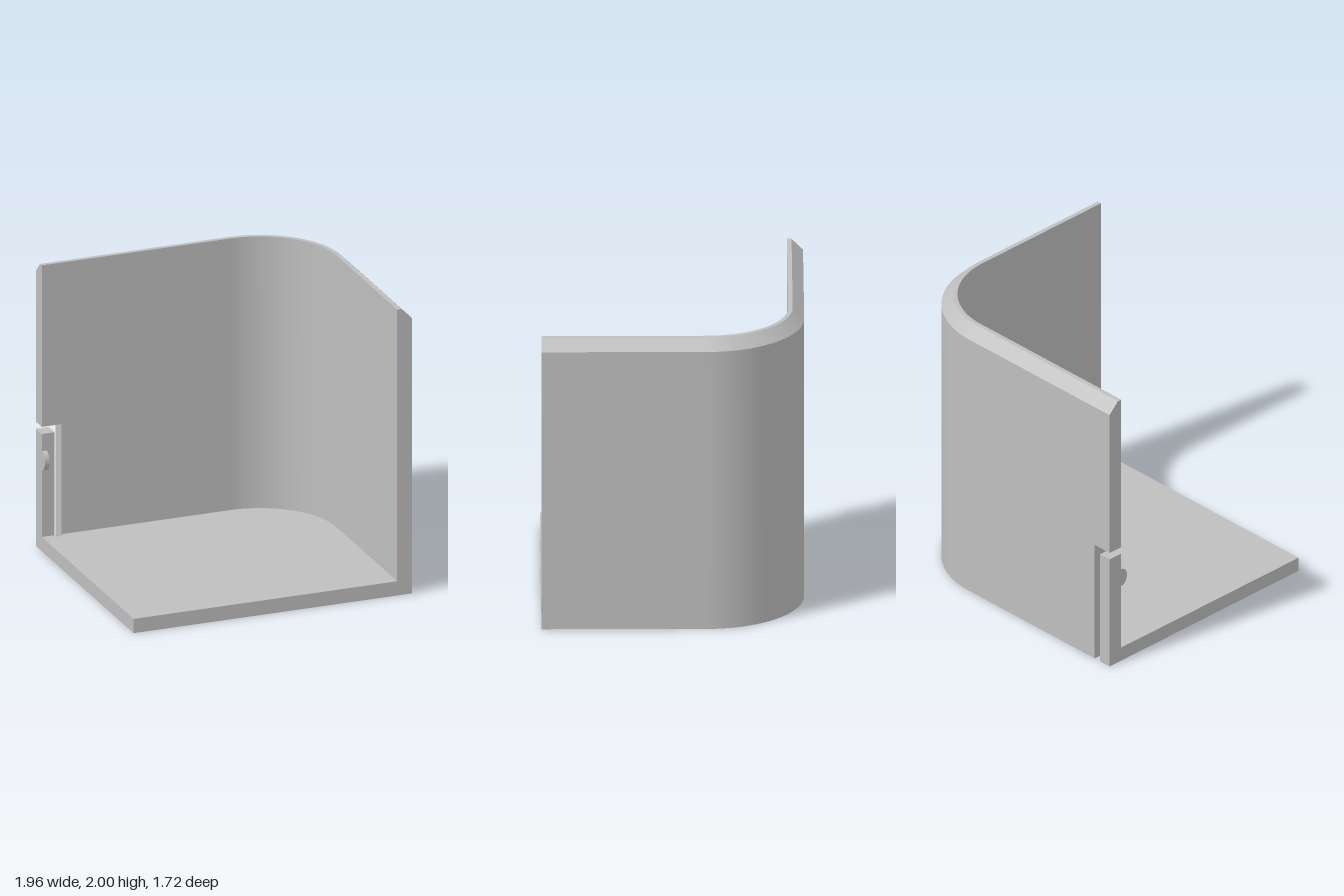
import * as THREE from 'three';
import { toCreasedNormals } from 'three/addons/utils/BufferGeometryUtils.js';

const W = 0.98, D = 0.86, T = 0.105;      // half width, half depth, wall thickness
const R = 0.64, CX = W - R, CZ = -D + R;  // rounded corner
const FLOOR = 0.1, SLOT0 = -0.89, SLOT1 = -0.84, SLOT_TOP = 0.87;

// Sweep the chamfered wall section along the back, round the corner and down the side
function wallGeometry() {
  // each station: outer point, outward direction and bottom height
  const stations = [[-W, -D, 0, -1, SLOT_TOP], [SLOT1, -D, 0, -1, SLOT_TOP], [SLOT1, -D, 0, -1, 0]];
  const n = 32;
  for (let i = 0; i <= n; i++) {
    const a = (i / n) * Math.PI / 2, s = Math.sin(a), c = Math.cos(a);
    stations.push([CX + R * s, CZ - R * c, s, -c, 0]);
  }
  stations.push([W, D, 1, 0, 0]);

  const pos = [], index = [], m = 5;
  for (const [x, z, nx, nz, y0] of stations) {
    const section = [[0, y0], [0, 1.925], [0.075, 2], [T, 2], [T, y0]];
    for (const [d, y] of section) pos.push(x - nx * d, y, z - nz * d);
  }
  for (let s = 0; s < stations.length - 1; s++) {
    for (let k = 0; k < m; k++) {
      const a = s * m + k, d = s * m + (k + 1) % m, b = a + m, c = d + m;
      index.push(a, c, b, a, d, c);
    }
  }
  // end caps
  const e = (stations.length - 1) * m;
  for (let k = 1; k < m - 1; k++) index.push(0, k + 1, k, e, e + k, e + k + 1);

  const g = new THREE.BufferGeometry();
  g.setAttribute('position', new THREE.Float32BufferAttribute(pos, 3));
  g.setIndex(index);
  return toCreasedNormals(g, Math.PI / 7);
}

// Floor plate inside the wall, notched where the slot runs through
function floorGeometry() {
  const s = new THREE.Shape(), back = D - T;
  s.moveTo(-W, -D);
  s.lineTo(W - T, -D);
  s.lineTo(W - T, -CZ);
  s.absarc(CX, -CZ, R - T, 0, Math.PI / 2, false);
  s.lineTo(SLOT1, back);
  s.lineTo(SLOT1, back - 0.03);
  s.lineTo(SLOT0, back - 0.03);
  s.lineTo(SLOT0, back);
  s.lineTo(-W, back);
  s.closePath();
  const g = new THREE.ExtrudeGeometry(s, { depth: FLOOR, bevelEnabled: false, curveSegments: 32 });
  return g.rotateX(-Math.PI / 2);
}

export function createModel() {
  const model = new THREE.Group();
  model.name = 'cornerHousing';
  const grey = new THREE.MeshStandardMaterial({ color: 0xbfbfbf });
  grey.name = 'grey';
  const add = (name, geometry, x = 0, y = 0, z = 0) => {
    const mesh = new THREE.Mesh(geometry, grey);
    mesh.name = name;
    mesh.position.set(x, y, z);
    model.add(mesh);
  };

  add('wall', wallGeometry());
  add('floor', floorGeometry());

  // springy latch tab beside the slot
  const tabW = SLOT0 + W, tabH = 0.82;
  add('latchTab', new THREE.BoxGeometry(tabW, tabH, T), -W + tabW / 2, tabH / 2, -D + T / 2);

  // rounded catch on the tab
  const bump = new THREE.CylinderGeometry(0.065, 0.065, 0.034, 24, 1, false, -Math.PI / 2, Math.PI);
  bump.rotateZ(Math.PI / 2).scale(1, 1, 0.82);
  add('latchCatch', bump, -W + 0.017, 0.635, -D + T);

  return model;
}
